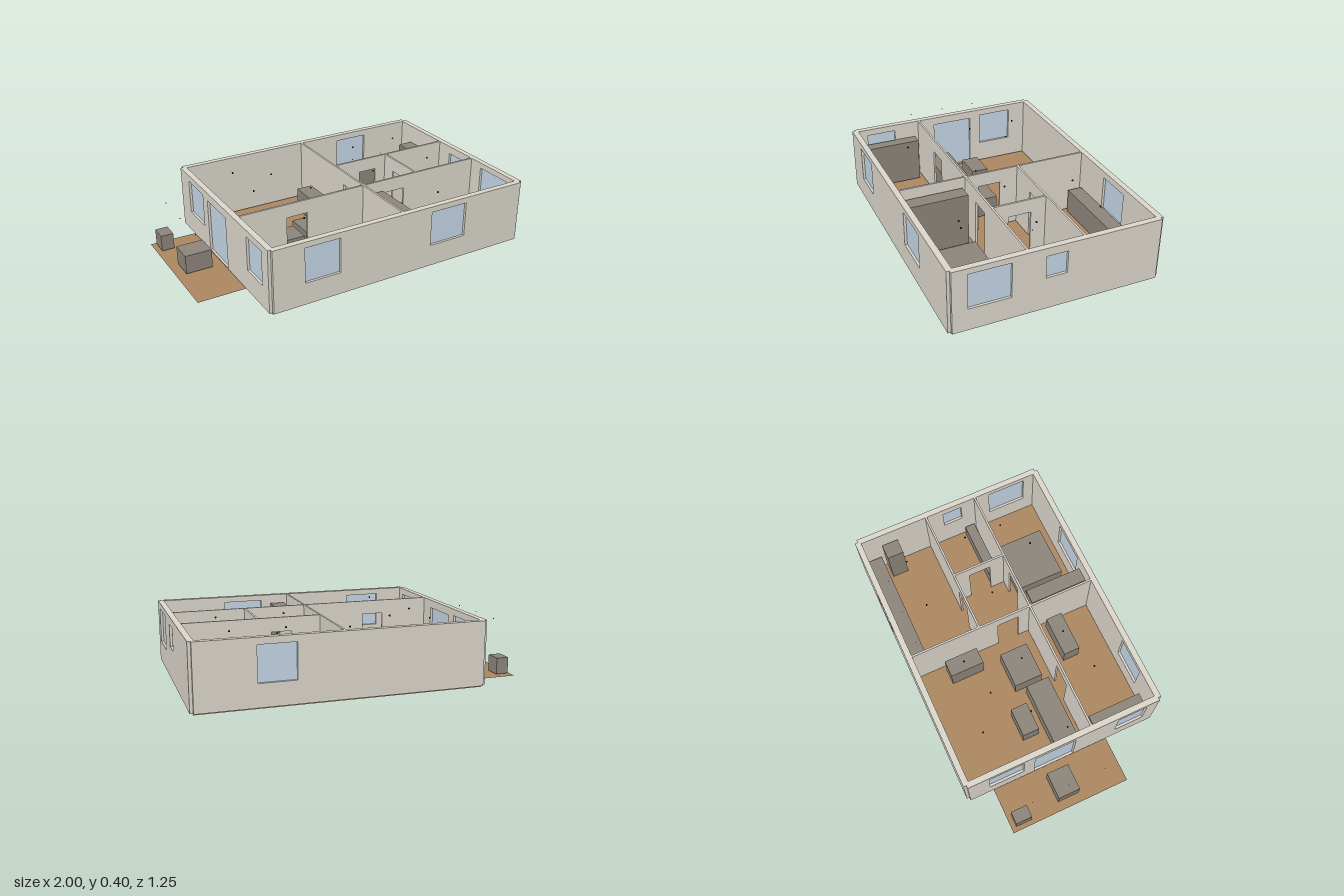
import * as THREE from 'three';

const paint = (color) => new THREE.MeshStandardMaterial({ color });
const WALL_BASE = 0.01, WALL_TOP = 0.395, DOOR_TOP = 0.31;

export function createModel() {
  const root = new THREE.Group();
  const wallMat = paint(0xdbd6cb), furnitureMat = paint(0x8c857a);
  const glassMat = paint(0xc4d6e6), lampMat = paint(0x222222);
  const floorMat = paint(0xab8760);
  floorMat.side = THREE.DoubleSide;

  const add = (name, geo, mat, x = 0, y = 0, z = 0) => {
    const m = new THREE.Mesh(geo, mat);
    m.name = name;
    m.position.set(x, y, z);
    root.add(m);
    return m;
  };

  // Upright wall along x or z: doors [u0, u1] notch the base, windows [u0, u1, y0, y1] are glazed
  function wall(name, axis, at, from, to, thick, { doors = [], windows = [] } = {}) {
    const s = new THREE.Shape();
    s.moveTo(from, WALL_BASE);
    for (const [a, b] of doors) {
      s.lineTo(a, WALL_BASE);
      s.lineTo(a, DOOR_TOP);
      s.lineTo(b, DOOR_TOP);
      s.lineTo(b, WALL_BASE);
    }
    s.lineTo(to, WALL_BASE);
    s.lineTo(to, WALL_TOP);
    s.lineTo(from, WALL_TOP);
    s.closePath();
    const g = new THREE.Group();
    g.name = name;
    for (const [a, b, y0, y1] of windows) {
      s.holes.push(new THREE.Path([[a, y0], [a, y1], [b, y1], [b, y0]].map((p) => new THREE.Vector2(...p))));
      const pane = new THREE.Mesh(new THREE.BoxGeometry(b - a, y1 - y0, 0.006), glassMat);
      pane.name = 'windowPane';
      pane.position.set((a + b) / 2, (y0 + y1) / 2, 0);
      g.add(pane);
    }
    const geo = new THREE.ExtrudeGeometry(s, { depth: thick, bevelEnabled: false });
    geo.translate(0, 0, -thick / 2);
    const body = new THREE.Mesh(geo, wallMat);
    body.name = name + 'Body';
    g.add(body);
    if (axis === 'z') {
      g.rotation.y = -Math.PI / 2;
      g.position.x = at;
    } else g.position.z = at;
    root.add(g);
  }

  // Outer walls
  wall('frontWall', 'x', 0.607, -0.697, 0.977, 0.036,
    { windows: [[-0.505, -0.285, 0.145, 0.36], [0.32, 0.565, 0.145, 0.36]] });
  wall('backWall', 'x', -0.612, -0.697, 0.977, 0.036, { windows: [[0.415, 0.635, 0.145, 0.355]] });
  wall('leftWall', 'z', 0.977, -0.612, 0.607, 0.036,
    { windows: [[0.275, 0.52, 0.145, 0.36], [-0.045, 0.08, 0.21, 0.345]] });
  wall('rightWall', 'z', -0.697, -0.612, 0.607, 0.036,
    { windows: [[-0.48, -0.26, 0.145, 0.355], [-0.19, 0.07, 0.015, 0.345], [0.345, 0.53, 0.145, 0.355]] });

  // Room partitions
  const thin = 0.012;
  wall('centrePartition', 'z', 0.14, -0.595, 0.59, thin, { doors: [[-0.04, 0.1]] });
  wall('frontPartition', 'x', 0.178, -0.68, 0.96, thin, { doors: [[-0.383, -0.248], [0.302, 0.432]] });
  wall('kitchenPartition', 'x', -0.158, 0.14, 0.96, thin, { doors: [[0.32, 0.44]] });
  wall('bathroomPartition', 'z', 0.52, -0.158, 0.178, thin, { doors: [[-0.06, 0.08]] });

  // Floors
  const slab = (name, x0, x1, z0, z1) =>
    add(name, new THREE.PlaneGeometry(x1 - x0, z1 - z0).rotateX(-Math.PI / 2), floorMat,
      (x0 + x1) / 2, 0, (z0 + z1) / 2);
  slab('houseFloor', -0.697, 0.977, -0.612, 0.607);
  slab('balconyFloor', -1, -0.697, -0.46, 0.3);

  // Block furniture: x0, x1, z0, z1, top
  const furniture = {
    diningCabinet: [0.005, 0.11, -0.415, -0.2, 0.16],
    armchair: [-0.515, -0.335, -0.17, -0.065, 0.13],
    sofa: [-0.655, -0.24, -0.02, 0.13, 0.13],
    diningTable: [-0.21, 0.015, -0.08, 0.1, 0.13],
    bookshelf: [-0.675, -0.605, 0.21, 0.545, 0.29],
    desk: [-0.15, 0.11, 0.285, 0.39, 0.13],
    wardrobe: [0.17, 0.26, 0.21, 0.575, 0.34],
    bed: [0.385, 0.715, 0.22, 0.53, 0.1],
    bathtub: [0.55, 0.945, 0.09, 0.155, 0.1],
    kitchenCounter: [0.17, 0.945, -0.59, -0.5, 0.16],
    fridge: [0.855, 0.953, -0.475, -0.37, 0.28],
    balconyStool: [-0.972, -0.895, -0.43, -0.328, 0.11],
    balconyTable: [-0.945, -0.782, -0.14, -0.002, 0.125],
  };
  for (const [name, [x0, x1, z0, z1, top]] of Object.entries(furniture))
    add(name, new THREE.BoxGeometry(x1 - x0, top - 0.01, z1 - z0), furnitureMat,
      (x0 + x1) / 2, (top + 0.01) / 2, (z0 + z1) / 2);

  // Small lamps: height, radius, then [x, z] positions
  const lamps = [
    ['ceilingLamp', 0.383, 0.006, [[-0.455, -0.4], [-0.257, -0.263], [-0.455, -0.097], [-0.365, 0.36],
      [0.32, 0.01], [0.732, 0.01], [0.412, -0.385], [0.732, -0.385]]],
    ['bedroomLamp', 0.33, 0.006, [[0.55, 0.375]]],
    ['pendantLamp', 0.27, 0.006, [[-0.105, 0.01]]],
    ['tableLamp', 0.2, 0.006, [[0.048, -0.31], [-0.592, 0.085], [-0.03, 0.33], [0.29, 0.285], [0.81, 0.285]]],
    ['counterLamp', 0.22, 0.003, [[0.277, -0.53], [0.503, -0.53], [0.732, -0.53], [0.573, -0.05]]],
    ['balconyLamp', 0.33, 0.003, [[-0.927, -0.31], [-0.927, -0.082], [-0.927, 0.148]]],
  ];
  for (const [name, y, r, spots] of lamps)
    for (const [x, z] of spots) add(name, new THREE.SphereGeometry(r, 10, 8), lampMat, x, y, z);

  return root;
}
